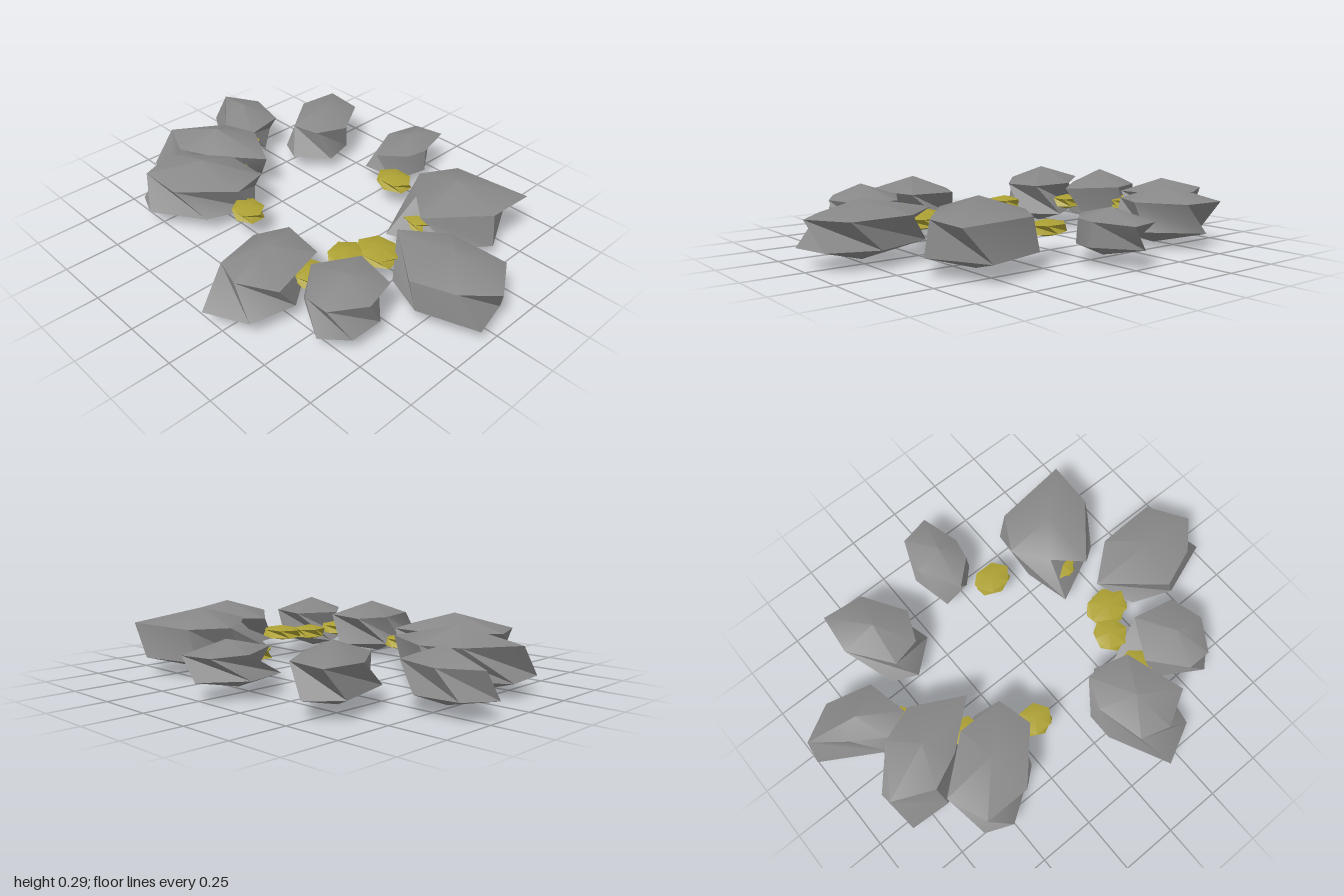
import * as THREE from 'three';
import { toCreasedNormals } from 'three/addons/utils/BufferGeometryUtils.js';

const stone = new THREE.MeshStandardMaterial({ color: 0x888888 });
stone.name = 'grey stone';
const gold = new THREE.MeshStandardMaterial({ color: 0xaca033 });
gold.name = 'dull gold';

// Faceted stone: apex, upper ring, twisted lower ring, bottom point.
// Rings are [x, z] pairs running from +x towards +z. The lower ring is joined
// one step back, so the sides fold into slanted notches.
function facetedStone(name, material, midY, half, upper, lower) {
  const n = upper.length;
  const ring = (pts, y) => pts.map(([x, z]) => new THREE.Vector3(x, y, z));
  const U = ring(upper, midY + half * 0.5);
  const L = ring(lower, midY - half * 0.5);
  const middle = (pts, y) => {
    const c = new THREE.Vector3();
    pts.forEach((p) => c.addScaledVector(p, 1 / n));
    return c.setY(y);
  };
  const top = middle(U, midY + half);
  const bottom = middle(L, midY - half);
  const corners = [];
  for (let i = 0; i < n; i++) {
    const j = (i + 1) % n;
    const k = (i + n - 1) % n;
    corners.push(top, U[j], U[i], U[i], U[j], L[k], L[k], U[j], L[i], L[k], L[i], bottom);
  }
  const geometry = new THREE.BufferGeometry().setFromPoints(corners);
  const mesh = new THREE.Mesh(toCreasedNormals(geometry, 0.7), material);
  mesh.name = name;
  return mesh;
}

// Small nugget: the same form on a regular six-sided plan
function nugget(name, x, z, rx, rz, turn) {
  const plan = (offset) => Array.from({ length: 6 }, (_, i) => {
    const a = turn + ((i + offset) * Math.PI) / 3;
    return [x + rx * Math.cos(a), z + rz * Math.sin(a)];
  });
  return facetedStone(name, gold, 0.127, 0.036, plan(0), plan(0.5));
}

export function createModel() {
  const group = new THREE.Group();
  group.name = 'stone ring';
  const rock = (name, midY, half, upper, lower) =>
    group.add(facetedStone(name, stone, midY, half, upper, lower));

  // Ring of large rocks
  rock('backRock', 0.13, 0.1,
    [[-0.09, -0.76], [0.05, -0.79], [0.1, -0.61], [0.08, -0.51], [-0.03, -0.41], [-0.13, -0.6]],
    [[-0.02, -0.78], [0.11, -0.6], [0.09, -0.51], [0.02, -0.44], [-0.11, -0.42], [-0.15, -0.61]]);
  rock('backLeftRock', 0.148, 0.142,
    [[0.34, -0.55], [0.69, -0.59], [0.68, -0.37], [0.48, -0.13], [0.36, -0.24], [0.25, -0.39]],
    [[0.57, -0.61], [0.7, -0.36], [0.6, -0.22], [0.33, -0.09], [0.28, -0.3], [0.3, -0.54]]);
  rock('leftRock', 0.14, 0.125,
    [[0.62, -0.16], [0.89, -0.17], [1, 0], [0.88, 0.12], [0.7, 0.19], [0.45, -0.02]],
    [[0.75, -0.15], [0.95, -0.07], [0.99, 0.1], [0.74, 0.19], [0.56, 0.12], [0.5, -0.06]]);
  rock('frontLeftRock', 0.14, 0.125,
    [[0.47, 0.21], [0.66, 0.25], [0.7, 0.4], [0.61, 0.54], [0.5, 0.54], [0.37, 0.39]],
    [[0.59, 0.23], [0.69, 0.33], [0.69, 0.48], [0.59, 0.57], [0.39, 0.45], [0.3, 0.28]]);
  rock('frontRock', 0.138, 0.127,
    [[0.13, 0.29], [0.33, 0.32], [0.41, 0.59], [0.25, 0.68], [0.12, 0.64], [0.07, 0.43]],
    [[0.21, 0.25], [0.4, 0.5], [0.36, 0.7], [0.18, 0.79], [0.05, 0.53], [0.05, 0.41]]);
  rock('frontRightRock', 0.146, 0.138,
    [[-0.45, 0.13], [-0.24, 0.13], [-0.2, 0.29], [-0.39, 0.5], [-0.6, 0.5], [-0.67, 0.32]],
    [[-0.35, 0.08], [-0.21, 0.2], [-0.29, 0.41], [-0.51, 0.56], [-0.63, 0.51], [-0.6, 0.25]]);
  rock('rightRock', 0.138, 0.138,
    [[-0.72, -0.04], [-0.56, -0.1], [-0.33, 0.02], [-0.53, 0.19], [-0.68, 0.26], [-0.86, 0.18]],
    [[-0.61, -0.09], [-0.42, -0.02], [-0.48, 0.16], [-0.67, 0.31], [-0.85, 0.3], [-0.87, 0.1]]);
  rock('backRightInnerRock', 0.132, 0.115,
    [[-0.82, -0.34], [-0.62, -0.29], [-0.58, -0.1], [-0.7, -0.05], [-0.84, -0.14], [-0.98, -0.25]],
    [[-0.72, -0.33], [-0.58, -0.18], [-0.62, -0.04], [-0.73, -0.03], [-1, -0.19], [-0.91, -0.31]]);
  rock('backRightRock', 0.138, 0.128,
    [[-0.6, -0.67], [-0.41, -0.65], [-0.29, -0.46], [-0.35, -0.32], [-0.48, -0.29], [-0.62, -0.48]],
    [[-0.5, -0.68], [-0.32, -0.5], [-0.28, -0.35], [-0.42, -0.23], [-0.53, -0.28], [-0.61, -0.56]]);

  // Gold nuggets around the inner edge: x, z, radii, turn
  [
    [0.12, -0.37, 0.09, 0.07, 0],
    [0.4, -0.22, 0.075, 0.07, 0.2],
    [0.435, 0.075, 0.1, 0.085, 0.9],
    [0.36, 0.185, 0.075, 0.08, 0.3],
    [0.35, 0.37, 0.075, 0.075, 0.7],
    [-0.16, 0.275, 0.08, 0.07, 0],
    [-0.43, 0.12, 0.07, 0.065, 0.4],
    [-0.61, -0.08, 0.075, 0.07, 1.0],
  ].forEach((n, i) => group.add(nugget('goldNugget' + (i + 1), ...n)));

  return group;
}
